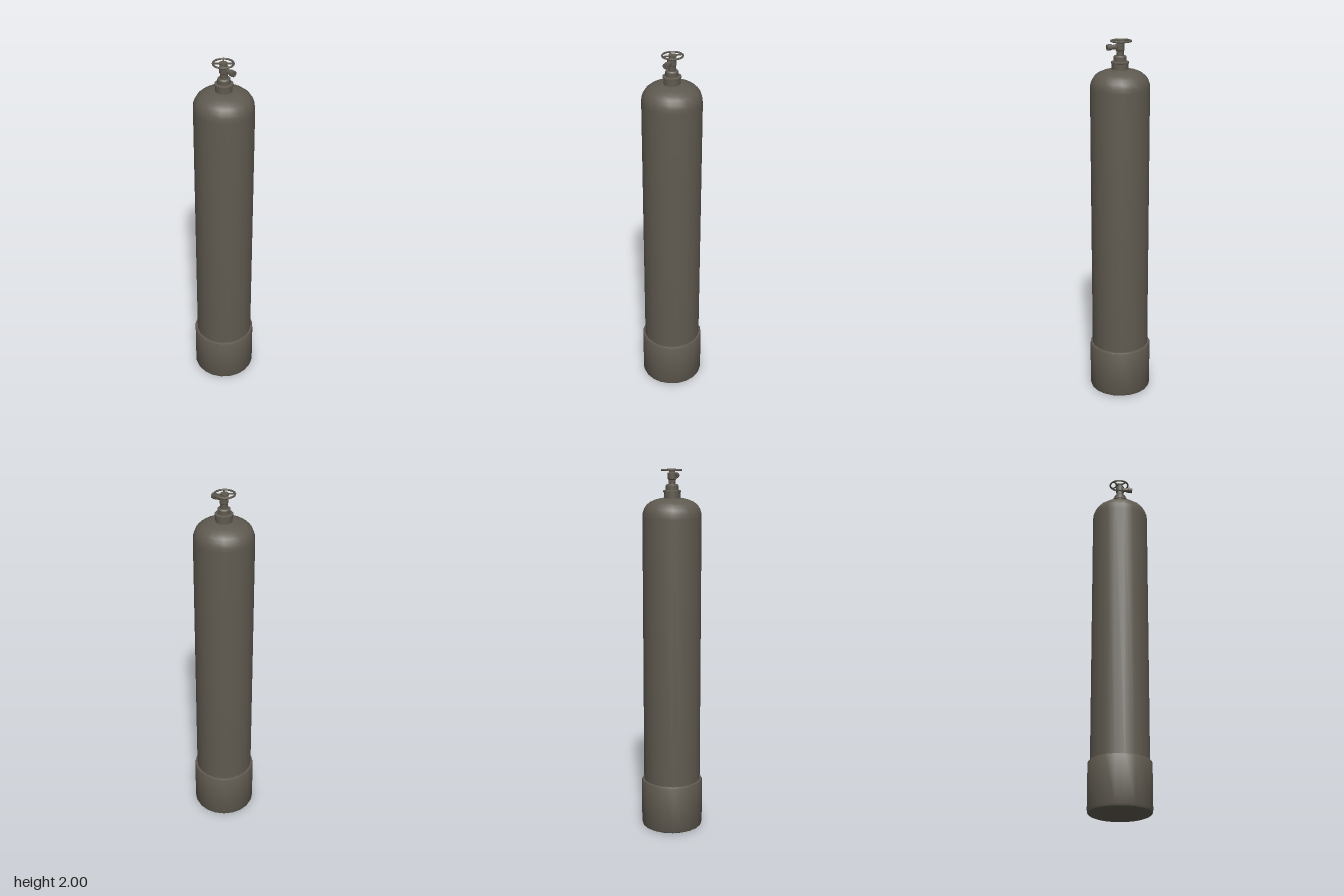
import * as THREE from 'three';
import { toCreasedNormals } from 'three/addons/utils/BufferGeometryUtils.js';

export function createModel() {
  const group = new THREE.Group();
  const paint = new THREE.MeshStandardMaterial({ color: 0x5f5a50 });
  paint.name = 'olive grey paint';

  const add = (name, geometry, parent = group) => {
    const mesh = new THREE.Mesh(geometry, paint);
    mesh.name = name;
    parent.add(mesh);
    return mesh;
  };
  // Turned part from [radius, height] pairs, bottom to top
  const turned = (points, sides = 20, start = -0.04) => toCreasedNormals(
    new THREE.LatheGeometry(points.map(([r, y]) => new THREE.Vector2(r, y)), sides, start), 0.6);

  // Tank with rounded shoulder
  add('tank', turned([
    [0.158, 0.2], [0.159, 1.745], [0.157, 1.77], [0.150, 1.792], [0.137, 1.812],
    [0.117, 1.828], [0.09, 1.84], [0.06, 1.847], [0, 1.85],
  ]));

  // Foot sleeve with softened edges
  add('footSleeve', turned([
    [0, 0], [0.156, 0], [0.166, 0.005], [0.171, 0.016],
    [0.171, 0.268], [0.168, 0.274], [0.158, 0.275],
  ]));

  // Neck ring, nut and valve stem
  add('neckRing', turned([
    [0.044, 1.835], [0.044, 1.878], [0.048, 1.88], [0.048, 1.888], [0.036, 1.892], [0, 1.892],
  ]));
  add('valveNut', turned([[0.034, 1.885], [0.034, 1.914], [0.029, 1.92], [0, 1.92]], 12));
  add('valveStem', turned([
    [0.02, 1.91], [0.02, 1.944], [0.024, 1.948], [0.024, 1.98], [0.015, 1.984], [0.015, 1.995], [0, 1.995],
  ], 12));

  // Side outlet pointing front left
  const outlet = new THREE.Group();
  outlet.name = 'outlet';
  outlet.position.y = 1.965;
  outlet.rotation.y = Math.atan2(0.035, 0.06);
  group.add(outlet);
  const pipe = add('outletPipe', turned([[0.012, 0], [0.012, 0.048], [0.016, 0.048], [0.016, 0.072], [0, 0.072]], 12), outlet);
  pipe.rotation.x = Math.PI / 2;

  // Handwheel with four spokes
  const wheel = new THREE.Group();
  wheel.name = 'handwheel';
  wheel.position.set(-0.002, 1.995, -0.005);
  wheel.rotation.y = -0.25;
  group.add(wheel);
  add('wheelRim', new THREE.TorusGeometry(0.0525, 0.005, 8, 24).rotateX(Math.PI / 2), wheel);
  add('wheelHub', turned([[0, -0.005], [0.021, -0.005], [0.021, 0.004], [0, 0.004]], 16), wheel);
  for (let i = 0; i < 4; i++) {
    const spoke = new THREE.BoxGeometry(0.035, 0.006, 0.007).translate(0.035, 0, 0);
    add('wheelSpoke', spoke.rotateY(i * Math.PI / 2), wheel);
  }
  return group;
}
